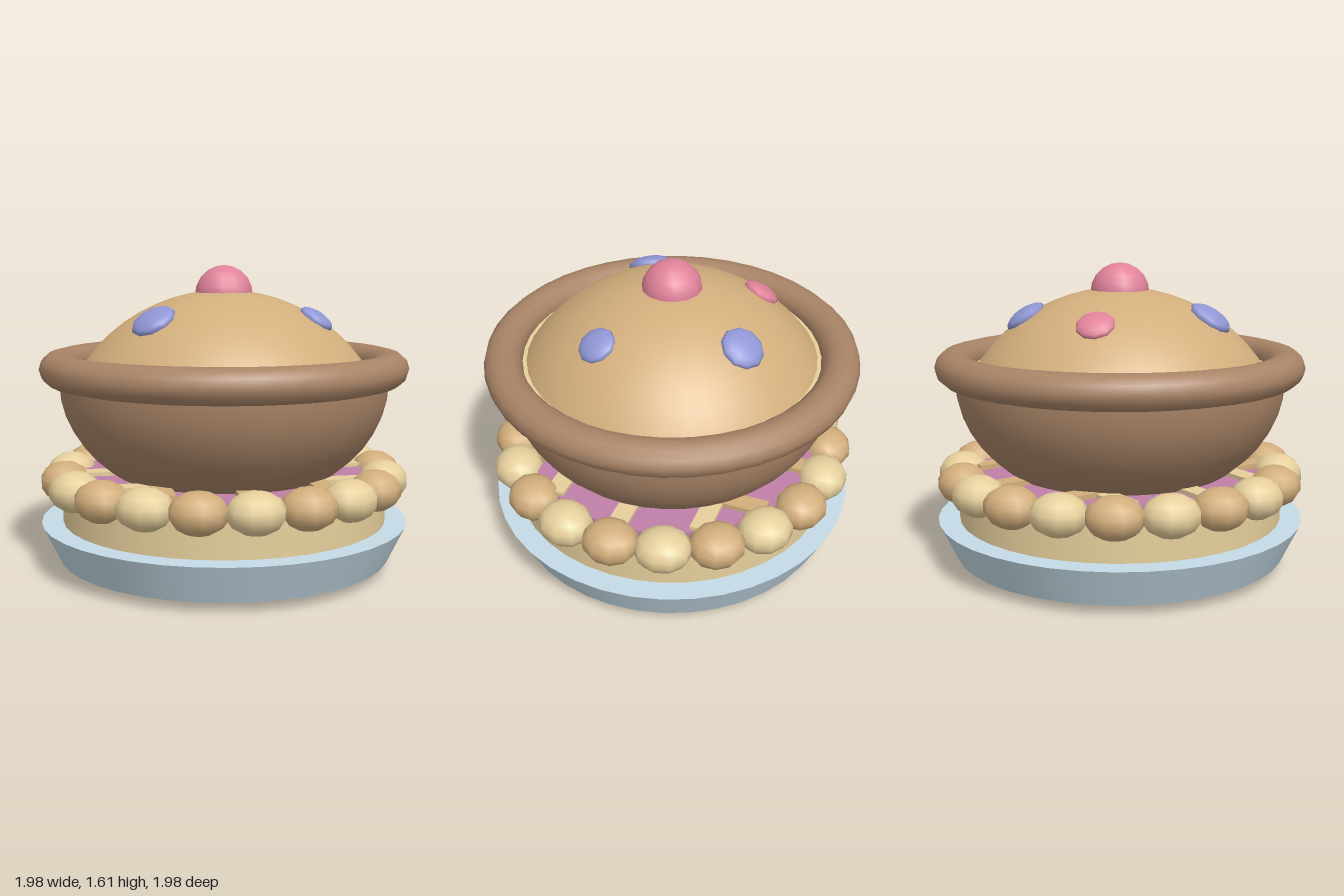
import * as THREE from 'three';

const COLORS = {
  plate: 0xc5dbe6, cream: 0xe6cf9c, tan: 0xd2ae7c, brown: 0xa98467,
  pink: 0xe0829a, blue: 0x8f96d4, filling: 0xc07fa8,
};

export function createModel() {
  const group = new THREE.Group();
  const mats = {};
  for (const k in COLORS) {
    mats[k] = new THREE.MeshStandardMaterial({ color: COLORS[k], side: THREE.DoubleSide });
  }
  const add = (name, geometry, mat, x = 0, y = 0, z = 0) => {
    const mesh = new THREE.Mesh(geometry, mats[mat]);
    mesh.name = name;
    mesh.position.set(x, y, z);
    group.add(mesh);
    return mesh;
  };

  // Flared plate with a small foot and a patch under it
  add('plate', new THREE.CylinderGeometry(0.99, 0.895, 0.2, 40), 'plate', 0, 0.15, 0);
  add('foot', new THREE.SphereGeometry(0.053, 8, 6), 'tan', 0, 0.05, 0);
  add('underPatch', new THREE.CircleGeometry(0.48, 32, Math.PI * 0.75, Math.PI), 'pink', 0, 0.047, 0)
    .rotation.x = Math.PI / 2;

  // Pie base, filling and lattice strips
  add('pieCrust', new THREE.CylinderGeometry(0.875, 0.875, 0.22, 40), 'cream', 0, 0.35, 0);
  add('filling', new THREE.CylinderGeometry(0.78, 0.78, 0.04, 40), 'filling', 0, 0.48, 0);
  for (const s of [-0.4, 0, 0.4]) {
    const length = 2 * Math.sqrt(0.78 ** 2 - s * s);
    add('latticeStrip', new THREE.BoxGeometry(length, 0.03, 0.1), 'cream', 0, 0.505, s);
    add('latticeStrip', new THREE.BoxGeometry(0.1, 0.03, length), 'tan', s, 0.51, 0);
  }

  // Ring of crust beads in alternating colours
  const beadGeometry = new THREE.SphereGeometry(1, 10, 7);
  for (let i = 0; i < 20; i++) {
    const a = (i / 20) * Math.PI * 2;
    const bead = add('crustBead', beadGeometry, i % 2 ? 'tan' : 'cream',
      Math.sin(a) * 0.86, 0.47, Math.cos(a) * 0.86);
    bead.scale.set(0.15, 0.107, 0.135);
    bead.rotation.y = a;
  }

  // Round bowl and its thick rim
  const bowlProfile = [];
  for (let i = 0; i <= 12; i++) {
    const t = (i / 12) * Math.PI / 2;
    bowlProfile.push(new THREE.Vector2(0.88 * Math.sin(t), 0.99 - 0.66 * Math.cos(t)));
  }
  bowlProfile.push(new THREE.Vector2(0.88, 1.07));
  add('bowl', new THREE.LatheGeometry(bowlProfile, 40), 'brown');
  const rim = add('bowlRim', new THREE.TorusGeometry(0.885, 0.1, 12, 40).rotateX(Math.PI / 2),
    'brown', 0, 1.07, 0);
  rim.scale.y = 0.9;

  // Cream layer and domed top
  add('creamLayer', new THREE.CylinderGeometry(0.8, 0.8, 0.04, 40), 'cream', 0, 1.05, 0);
  const domeRadius = 0.92, domeY = 0.56;
  add('domeTop', new THREE.SphereGeometry(domeRadius, 40, 10, 0, Math.PI * 2, 0, 1.04),
    'tan', 0, domeY, 0);

  // Cherry and berries pressed into the dome
  add('cherry', new THREE.SphereGeometry(0.157, 14, 10), 'pink', 0, 1.453, 0);
  const up = new THREE.Vector3(0, 1, 0);
  const berries = [
    [0.22, -0.45, 0.115, 'blue'],
    [0.45, 0.22, 0.1, 'blue'],
    [-0.41, 0.285, 0.12, 'blue'],
    [-0.335, -0.375, 0.1, 'pink'],
  ];
  for (const [x, z, r, color] of berries) {
    const h = Math.sqrt(domeRadius ** 2 - x * x - z * z);
    const berry = add('berry', new THREE.SphereGeometry(r, 10, 8), color, x, domeY + h, z);
    berry.scale.y = 0.4;
    berry.quaternion.setFromUnitVectors(up, new THREE.Vector3(x, h, z).normalize());
  }

  return group;
}
